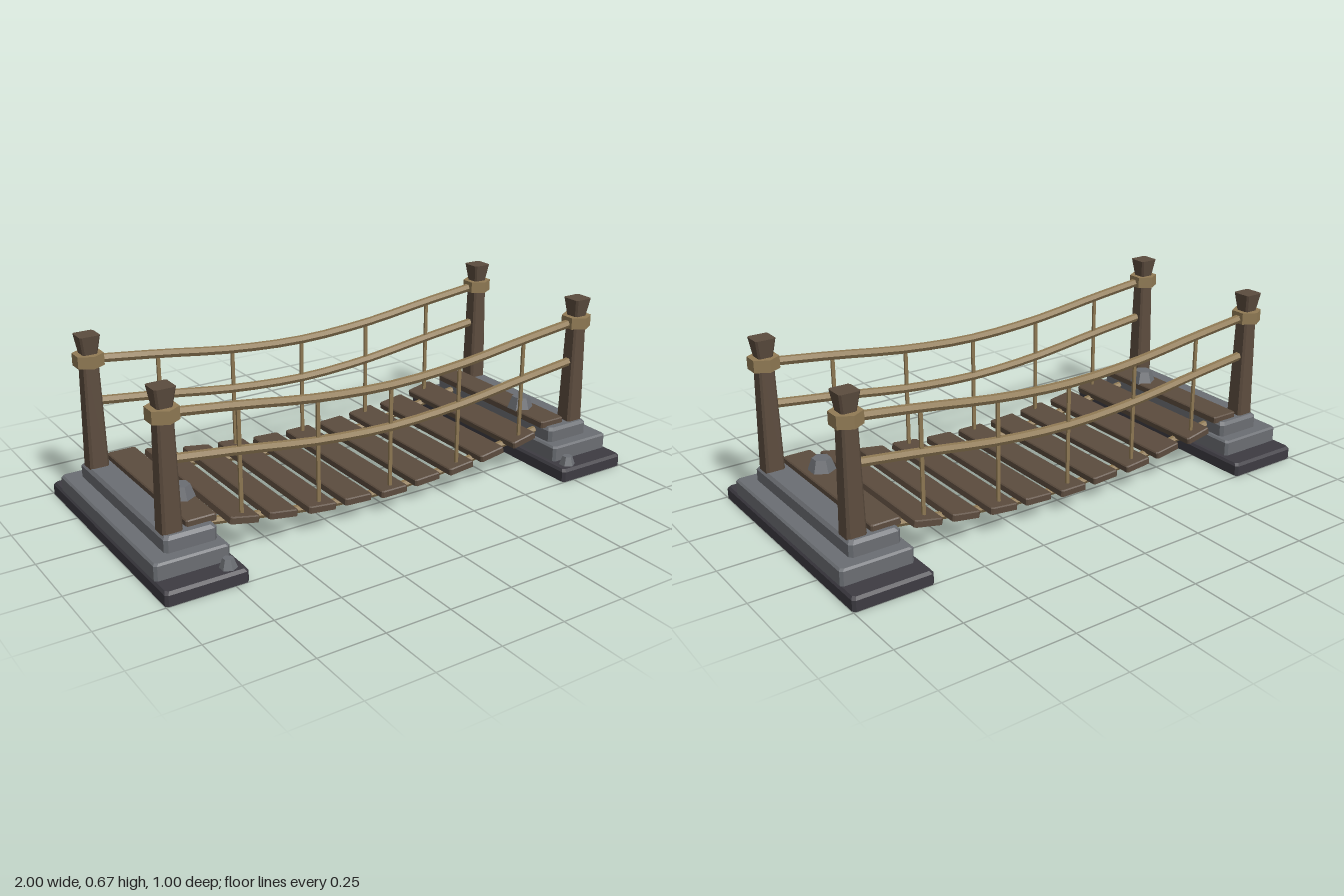
import * as THREE from 'three';

const mat = (name, color) => Object.assign(new THREE.MeshStandardMaterial({ color }), { name });

// Give every face its own normal
function facet(geo) {
  const g = geo.index ? geo.toNonIndexed() : geo;
  g.computeVertexNormals();
  return g;
}

// Stack of chamfered rectangles [y, halfX, halfZ, chamfer], closed at both ends
function loft(sections) {
  const rings = sections.map(([y, a, b, c]) => [
    [a, b - c], [a - c, b], [c - a, b], [-a, b - c], [-a, c - b], [c - a, -b], [a - c, -b], [a, c - b],
  ].map(([x, z]) => [x, y, z]));
  const pos = [];
  const tri = (...pts) => pts.forEach((p) => pos.push(...p));
  for (let i = 0; i < rings.length - 1; i++) {
    const lo = rings[i], hi = rings[i + 1];
    for (let j = 0; j < 8; j++) {
      const k = (j + 1) % 8;
      tri(lo[j], hi[j], hi[k]);
      tri(lo[j], hi[k], lo[k]);
    }
  }
  const first = rings[0], last = rings[rings.length - 1];
  for (let j = 1; j < 7; j++) {
    tri(first[0], first[j], first[j + 1]);
    tri(last[0], last[j + 1], last[j]);
  }
  // Rings run clockwise seen from above, so turn every face outward
  for (let i = 0; i < pos.length; i += 9) {
    const b = pos.slice(i + 3, i + 6);
    for (let n = 0; n < 3; n++) {
      pos[i + 3 + n] = pos[i + 6 + n];
      pos[i + 6 + n] = b[n];
    }
  }
  const g = new THREE.BufferGeometry();
  g.setAttribute('position', new THREE.Float32BufferAttribute(pos, 3));
  // Check the winding against the signed volume
  let vol = 0;
  const [A, B, C] = [0, 1, 2].map(() => new THREE.Vector3());
  for (let i = 0; i < pos.length; i += 9) {
    A.fromArray(pos, i); B.fromArray(pos, i + 3); C.fromArray(pos, i + 6);
    vol += A.dot(B.cross(C));
  }
  if (vol < 0) {
    const p = g.attributes.position;
    for (let i = 0; i < p.count; i += 3) {
      B.fromBufferAttribute(p, i + 1);
      C.fromBufferAttribute(p, i + 2);
      p.setXYZ(i + 1, C.x, C.y, C.z);
      p.setXYZ(i + 2, B.x, B.y, B.z);
    }
  }
  return facet(g);
}

export function createModel() {
  const wood = mat('wood', 0x5c4c3e);
  const ropeMat = mat('rope', 0x917b55);
  const stone = mat('stone', 0x6b6e73);
  const darkStone = mat('darkStone', 0x3d3b42);

  const model = new THREE.Group();
  model.name = 'ropeBridge';
  const add = (name, geo, material, x = 0, y = 0, z = 0, parent = model) => {
    const m = new THREE.Mesh(geo, material);
    m.name = name;
    m.position.set(x, y, z);
    parent.add(m);
    return m;
  };

  // Shared shapes
  const footing = loft([[0, 0.152, 0.5, 0.01], [0.04, 0.152, 0.5, 0.01], [0.05, 0.145, 0.49, 0.01]]);
  const lowerStep = loft([[0.05, 0.138, 0.415, 0.01], [0.103, 0.138, 0.415, 0.01], [0.11, 0.131, 0.408, 0.01]]);
  const upperStep = loft([[0.105, 0.097, 0.365, 0.012], [0.155, 0.097, 0.365, 0.012], [0.167, 0.087, 0.355, 0.012]]);
  const post = loft([[0.16, 0.037, 0.037, 0.009], [0.6, 0.029, 0.029, 0.007]]);
  const cap = loft([[0.6, 0.028, 0.028, 0.007], [0.672, 0.039, 0.039, 0.007]]);
  const collar = facet(new THREE.CylinderGeometry(0.0575, 0.0575, 0.046, 6));
  const bigRock = facet(new THREE.CylinderGeometry(0.035, 0.053, 0.05, 6));
  const smallRock = facet(new THREE.CylinderGeometry(0.019, 0.032, 0.036, 6));

  // Stone abutments with posts and loose rocks
  for (const s of [-1, 1]) {
    const end = new THREE.Group();
    end.name = s > 0 ? 'leftAbutment' : 'rightAbutment';
    model.add(end);
    add('footing', footing, darkStone, s * 0.848, 0, 0, end);
    add('lowerStep', lowerStep, stone, s * 0.858, 0, 0, end);
    add('upperStep', upperStep, stone, s * 0.836, 0, 0, end);
    add('deckRock', bigRock, stone, s * 0.768, 0.21, 0.148, end);
    add('footingRock', smallRock, stone, s * 0.752, 0.067, 0.455, end);
    for (const z of [-0.308, 0.308]) {
      add('post', post, wood, s * 0.89, 0, z, end);
      add('postCap', cap, wood, s * 0.89, 0, z, end);
      add('postCollar', collar, ropeMat, s * 0.89, 0.579, z, end);
    }
  }

  // Sagging ropes, given as half profiles [x, y] from the middle outward
  const sag = (half, z) => new THREE.CatmullRomCurve3([
    ...half.slice(1).reverse().map(([x, y]) => new THREE.Vector3(-x, y, z)),
    ...half.map(([x, y]) => new THREE.Vector3(x, y, z)),
  ]);
  const rail = [[0, 0.49], [0.31, 0.507], [0.62, 0.547], [0.88, 0.577]];
  const midRail = rail.map(([x, y]) => [x, y - 0.161]);
  const deckLine = [[0, 0.057], [0.31, 0.074], [0.62, 0.118], [0.76, 0.137]];
  const deckHeights = [0.083, 0.09, 0.1, 0.116, 0.141, 0.176];

  for (const z of [-0.31, 0.31]) {
    const ropes = [['handRope', rail, z, 0.017], ['middleRope', midRail, z, 0.017],
      ['deckRope', deckLine, Math.sign(z) * 0.268, 0.015]];
    for (const [name, half, rz, r] of ropes) {
      add(name, facet(new THREE.TubeGeometry(sag(half, rz), 16, r, 6)), ropeMat);
      // Close the rope ends
      for (const s of [-1, 1]) {
        const [x, y] = half[3];
        add(name + 'End', new THREE.CircleGeometry(r, 6), ropeMat, s * x, y, rz).rotation.y = s * Math.PI / 2;
      }
    }
    // Hanger ropes between deck and hand rope
    for (let i = -2; i <= 2; i++) {
      const top = rail[Math.abs(i)][1], bottom = deckHeights[Math.abs(i) * 2];
      add('hangerRope', facet(new THREE.CylinderGeometry(0.008, 0.008, top - bottom, 6)), ropeMat,
        i * 0.31, (top + bottom) / 2, z);
    }
  }

  // Deck planks following the sag
  const tilts = [0, 0.05, 0.1, 0.15, 0.2, 0];
  for (let i = -5; i <= 5; i++) {
    const n = Math.abs(i);
    const halfZ = n === 5 ? 0.335 : 0.35 - (n % 2) * 0.006;
    const plank = loft([[-0.013, 0.057, halfZ, 0.006], [0.009, 0.057, halfZ, 0.006], [0.013, 0.053, halfZ - 0.004, 0.006]]);
    add('deckPlank', plank, wood, i * 0.156, deckHeights[n], -0.004).rotation.z = Math.sign(i) * tilts[n];
  }
  return model;
}
